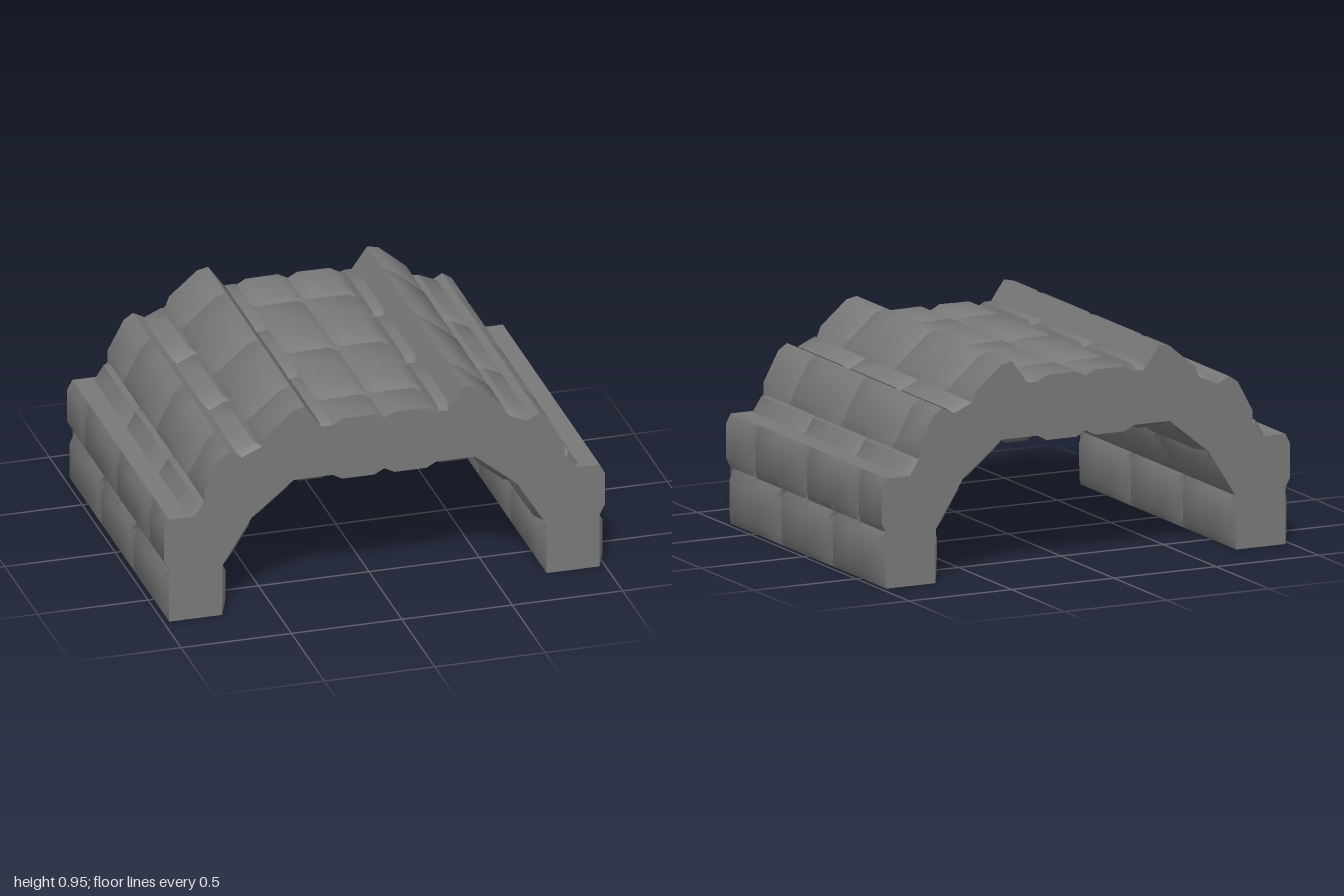
import * as THREE from 'three';
import { toCreasedNormals } from 'three/addons/utils/BufferGeometryUtils.js';

const HALF = 0.735;   // half the depth of the vault
const BRICK = 0.49;   // brick length along z
const BEVEL = 0.035;  // width of the bevel beside each joint
const RISE = 0.024;   // how far bricks stand proud of the mortar line

// Grooves of the half cross-section, from the crown outside, down to the foot and
// back up inside: [x, y, type of the brick course that starts here, if any].
// Type 0 has joints at z = 0 and +-0.49, type 1 at +-0.245 and both ends.
const grooves = [
  [0, 0.848, 0], [0.235, 0.845, 1], [0.285, 0.845], [0.36, 0.95, 0],
  [0.555, 0.785, 1], [0.645, 0.745], [0.7, 0.775, 0], [0.815, 0.56, 1],
  [0.86, 0.49], [0.975, 0.49, 0], [0.975, 0.25, 1], [0.975, 0],
  [0.735, 0, 1], [0.732, 0.24, 1], [0.6, 0.45, 1], [0.41, 0.605, 1],
  [0.235, 0.605, 0], [0, 0.605],
];

// 0 in a joint, 1 on the face of a brick
function fullness(z, type) {
  const u = z / BRICK + type * 0.5;
  const distance = Math.abs(u - Math.round(u)) * BRICK;
  return Math.min(1, distance / BEVEL);
}

// Closed cross-section at depth z: each course rises between two bevelled corners
function section(z) {
  const right = [];
  grooves.forEach(([x, y, type], i) => {
    const start = new THREE.Vector2(x, y);
    right.push(start);
    if (type === undefined) return;
    const end = new THREE.Vector2(grooves[i + 1][0], grooves[i + 1][1]);
    const along = end.clone().sub(start);
    const length = along.length();
    along.normalize();
    const outward = new THREE.Vector2(-along.y, along.x);
    const full = fullness(z, type);
    const inset = Math.min(0.045, length * 0.2);
    // narrow courses butt against the ledge below them
    const far = length < 0.15 ? length + 0.012 * full : length - inset;
    for (const s of [inset, far]) {
      right.push(start.clone().addScaledVector(along, s).addScaledVector(outward, RISE * full));
    }
  });
  const left = right.slice(1, -1).reverse().map((p) => new THREE.Vector2(-p.x, p.y));
  return right.concat(left);
}

function geometryFrom(positions, index) {
  const g = new THREE.BufferGeometry();
  g.setAttribute('position', new THREE.Float32BufferAttribute(positions, 3));
  g.setIndex(index);
  return toCreasedNormals(g, 0.8);
}

// Bricked surface: sections joined at each joint and on both sides of it
function brickShell() {
  const depths = [];
  for (let j = -3; j <= 3; j++) {
    for (const d of [-BEVEL, 0, BEVEL]) {
      const z = j * BRICK / 2 + d;
      if (Math.abs(z) <= HALF + 1e-6) depths.push(z);
    }
  }
  const rings = depths.map(section);
  const n = rings[0].length;
  const positions = rings.flatMap((ring, k) => ring.flatMap((p) => [p.x, p.y, depths[k]]));
  const index = [];
  for (let k = 0; k < depths.length - 1; k++) {
    for (let i = 0; i < n; i++) {
      const a = k * n + i, b = k * n + (i + 1) % n;
      index.push(a, a + n, b + n, a, b + n, b);
    }
  }
  return geometryFrom(positions, index);
}

// Flat end of the vault, facing +z (side 1) or -z (side -1)
function endFace(side) {
  const ring = section(side * HALF);
  const positions = ring.flatMap((p) => [p.x, p.y, side * HALF]);
  const index = [];
  for (const [a, b, c] of THREE.ShapeUtils.triangulateShape(ring, [])) {
    const area = THREE.ShapeUtils.area([ring[a], ring[b], ring[c]]);
    index.push(...(area * side > 0 ? [a, b, c] : [a, c, b]));
  }
  return geometryFrom(positions, index);
}

export function createModel() {
  const group = new THREE.Group();
  group.name = 'brickArchTunnel';
  const material = new THREE.MeshStandardMaterial({ color: 0x797979 });
  const add = (name, geometry) => {
    const mesh = new THREE.Mesh(geometry, material);
    mesh.name = name;
    group.add(mesh);
  };
  add('brickShell', brickShell());
  add('frontEndFace', endFace(1));
  add('backEndFace', endFace(-1));
  return group;
}
